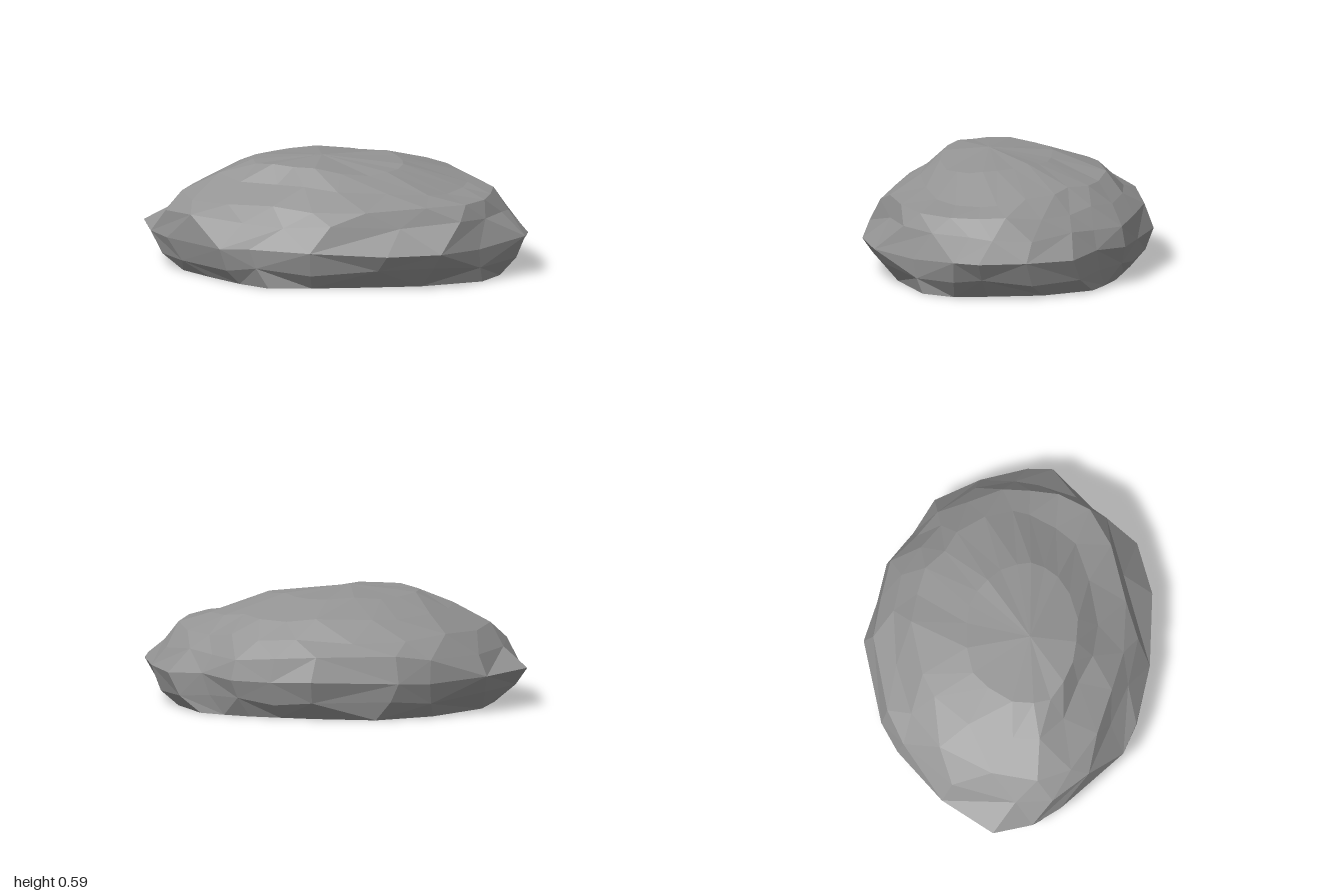
import * as THREE from 'three';

// Plan outlines, clockwise from the back: [x, z]
const base = [
  [0.02, -0.62], [0.2, -0.6], [0.36, -0.58], [0.5, -0.54], [0.63, -0.49], [0.78, -0.25], [0.84, 0.03],
  [0.87, 0.2], [0.8, 0.37], [0.5, 0.53], [0.2, 0.6], [-0.05, 0.65], [-0.27, 0.68], [-0.43, 0.58],
  [-0.6, 0.43], [-0.76, 0.27], [-0.81, 0.1], [-0.78, -0.14], [-0.57, -0.44], [-0.3, -0.62],
];
const widest = [
  [0.02, -0.74], [0.24, -0.68], [0.45, -0.64], [0.62, -0.51], [0.81, -0.41], [0.93, -0.18], [1, 0.06],
  [1, 0.19], [0.79, 0.42], [0.62, 0.64], [0.35, 0.73], [-0.05, 0.735], [-0.37, 0.68], [-0.53, 0.62],
  [-0.84, 0.31], [-0.94, 0.17], [-1, -0.03], [-0.83, -0.3], [-0.57, -0.54], [-0.42, -0.63],
];
const shoulder = [
  [0, -0.69], [0.22, -0.66], [0.43, -0.62], [0.57, -0.49], [0.7, -0.39], [0.85, -0.2], [0.89, 0],
  [0.87, 0.12], [0.81, 0.32], [0.7, 0.48], [0.4, 0.58], [0.05, 0.67], [-0.2, 0.63], [-0.42, 0.55],
  [-0.7, 0.45], [-0.85, 0.27], [-0.86, 0.08], [-0.78, -0.25], [-0.57, -0.51], [-0.4, -0.6],
];
const n = base.length;

function mix(p, q, t) {
  return [p[0] + (q[0] - p[0]) * t, p[1] + (q[1] - p[1]) * t];
}

// Levels from ground to crown. lift: height roughness, shift: 1 turns the ring half a step,
// slope: how far the front left of the ring dips
const levels = [
  { y: 0, lift: 0, shift: 0, slope: 0, points: base },
  { y: 0.09, lift: 0.025, shift: 0, slope: 0, points: base.map((p, i) => mix(p, widest[i], 0.65)) },
  { y: 0.195, lift: 0.018, shift: 0, slope: 0, points: widest },
  { y: 0.31, lift: 0.022, shift: 0, slope: 0, points: shoulder },
  { y: 0.4, lift: 0.015, shift: 1, slope: 0, points: upperRing([-0.77, 0.83], [-0.59, 0.63]) },
  { y: 0.49, lift: 0.012, shift: 0, slope: 0.1, points: upperRing([-0.58, 0.66], [-0.49, 0.47]) },
  { y: 0.567, lift: 0.01, shift: 1, slope: 0.12, points: upperRing([-0.42, 0.36], [-0.22, 0.37]) },
];

// The shoulder outline shrunk to the given x and z ranges
function upperRing(xRange, zRange) {
  const fit = (v, [low, high], min, max) => low + ((v - min) / (max - min)) * (high - low);
  return shoulder.map(([x, z]) => [fit(x, xRange, -0.86, 0.89), fit(z, zRange, -0.69, 0.67)]);
}

function seeded(seed) {
  return () => {
    seed = (seed * 16807) % 2147483647;
    return (seed / 2147483647) * 2 - 1;
  };
}

function rockGeometry() {
  const random = seeded(4217);
  const positions = [];
  const index = [];

  // Rings with uneven heights; the upper ones are also uneven in plan
  levels.forEach(({ y, lift, shift, slope, points }, k) => {
    points.forEach((p, i) => {
      const r = k > 3 ? 1 + random() * 0.03 : 1;
      const [x, z] = mix(p, points[(i + 1) % n], shift / 2);
      const dip = slope * Math.max(0, x + z - 0.25);
      positions.push(x * r, y + random() * lift - dip, z * r);
    });
  });

  // Triangulated bands between neighbouring rings
  for (let k = 0; k < levels.length - 1; k++) {
    const { shift } = levels[k];
    for (let i = 0; i < n; i++) {
      const j = (i + 1) % n;
      const a = k * n + i, b = k * n + j, c = a + n, d = b + n;
      const flip = shift === levels[k + 1].shift ? (i + k) % 2 : shift;
      if (flip) index.push(a, d, b, a, c, d);
      else index.push(a, c, b, b, c, d);
    }
  }

  // Flat underside and low crown
  const last = (levels.length - 1) * n;
  const centre = positions.length / 3;
  positions.push(0, 0, 0, -0.06, 0.594, 0.12);
  for (let i = 0; i < n; i++) {
    const j = (i + 1) % n;
    index.push(centre, i, j, centre + 1, last + j, last + i);
  }

  const indexed = new THREE.BufferGeometry();
  indexed.setAttribute('position', new THREE.Float32BufferAttribute(positions, 3));
  indexed.setIndex(index);
  const geometry = indexed.toNonIndexed();
  geometry.computeVertexNormals();
  return geometry;
}

export function createModel() {
  const stone = new THREE.MeshStandardMaterial({ color: 0x949494, flatShading: true });
  stone.name = 'stone grey';
  const rock = new THREE.Mesh(rockGeometry(), stone);
  rock.name = 'rock';
  const group = new THREE.Group();
  group.name = 'boulder';
  group.add(rock);
  return group;
}
